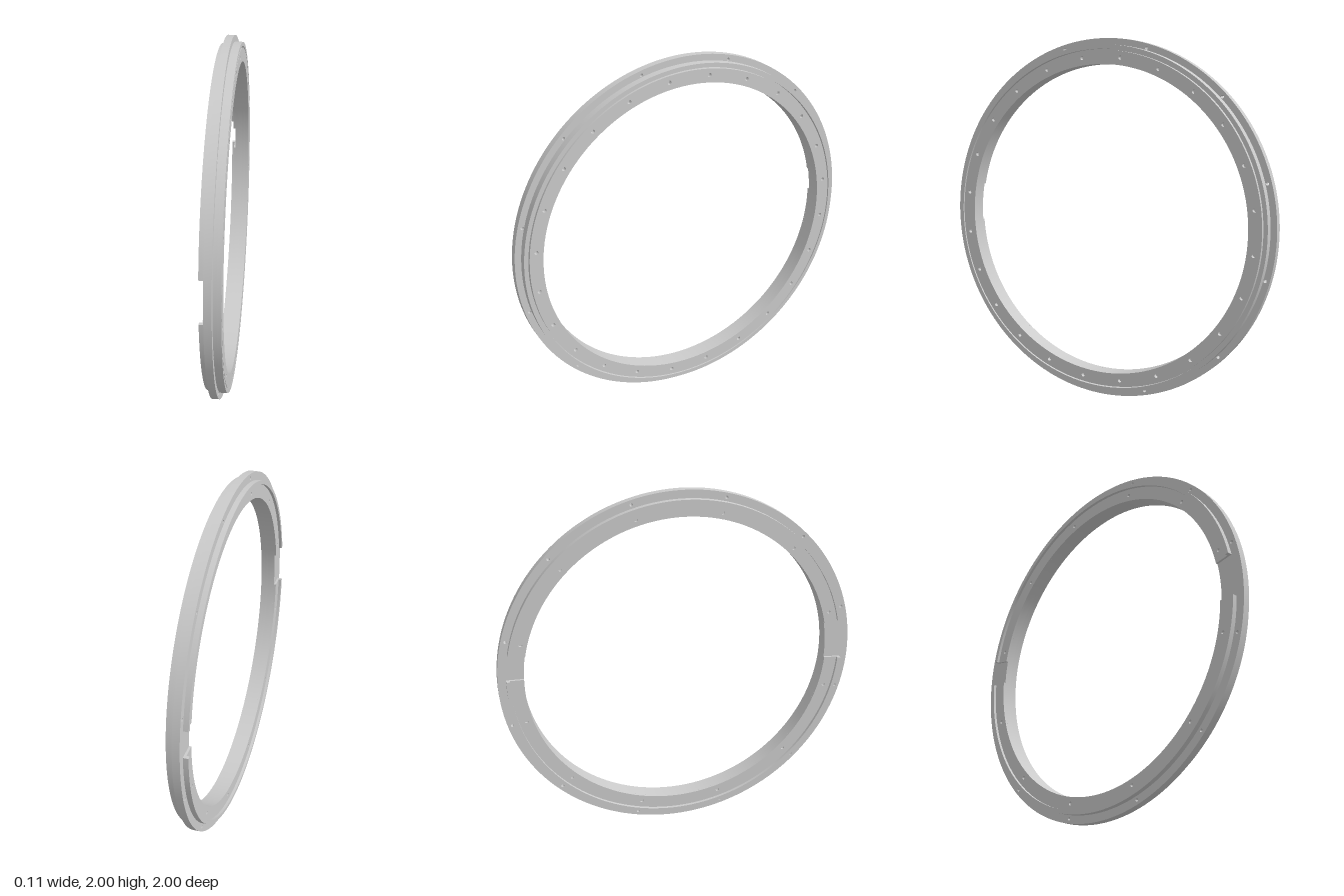
import * as THREE from 'three';
import { toCreasedNormals } from 'three/addons/utils/BufferGeometryUtils.js';

const material = new THREE.MeshStandardMaterial({ color: 0xcccccc });
const TAU = Math.PI * 2;
const STEPS = 160;

// Points along an arc
function arc(cx, cy, r, from, to, steps) {
  return Array.from({ length: steps + 1 }, (_, i) => {
    const a = from + ((to - from) * i) / steps;
    return new THREE.Vector2(cx + r * Math.cos(a), cy + r * Math.sin(a));
  });
}

// Evenly spaced round holes on a bolt circle, starting half a pitch off vertical
function boltHoles(count, circle, r) {
  return Array.from({ length: count }, (_, i) => {
    const a = ((i + 0.5) * TAU) / count;
    const points = arc(circle * Math.cos(a), circle * Math.sin(a), r, 0, TAU, 16);
    return new THREE.Path(points.slice(0, -1));
  });
}

// Extrudes a shape along x from x0 to x1; shape x becomes -z
function slab(name, shape, x0, x1) {
  let geometry = new THREE.ExtrudeGeometry(shape, { depth: x1 - x0, bevelEnabled: false });
  geometry.rotateY(Math.PI / 2);
  geometry.translate(x0, 1, 0);
  geometry = toCreasedNormals(geometry, 0.5);
  const mesh = new THREE.Mesh(geometry, material);
  mesh.name = name;
  return mesh;
}

// Full ring between two radii
function ring(name, inner, outer, x0, x1, holes = []) {
  const shape = new THREE.Shape(arc(0, 0, outer, 0, TAU, STEPS).slice(0, -1));
  shape.holes.push(new THREE.Path(arc(0, 0, inner, 0, TAU, STEPS).slice(0, -1)), ...holes);
  return slab(name, shape, x0, x1);
}

// Part of a ring between two angles, keeping only the holes inside it
function sector(name, inner, outer, x0, x1, from, to, holes = []) {
  const shape = new THREE.Shape([
    ...arc(0, 0, outer, from, to, STEPS / 2),
    ...arc(0, 0, inner, to, from, STEPS / 2),
  ]);
  shape.holes = holes.filter((hole) => {
    const p = hole.getPoint(0);
    const a = (Math.atan2(p.y, p.x) + TAU) % TAU;
    return (a > from && a < to) || (a + TAU > from && a + TAU < to);
  });
  return slab(name, shape, x0, x1);
}

export function createModel() {
  const model = new THREE.Group();
  model.name = 'flangedRing';
  const bore = 0.86;

  // Central flange with through holes
  model.add(ring('flange', bore, 1, -0.03, 0.01, boltHoles(12, 0.975, 0.009)));

  // Left collar: base, then two lands separated by a narrow seal groove
  model.add(ring('leftCollar', bore, 0.965, 0.01, 0.03));
  model.add(ring('leftOuterLand', 0.942, 0.965, 0.03, 0.052));
  model.add(ring('leftInnerLand', bore, 0.935, 0.03, 0.052, boltHoles(24, 0.9, 0.011)));

  // Right collar: two arcs with a raised rim, parted by a notch front and back
  const spans = [
    ['upper', 0.19, Math.PI - 0.19],
    ['lower', Math.PI + 0.063, TAU + 0.03],
  ];
  for (const [side, from, to] of spans) {
    model.add(sector(`${side}RightCollar`, bore, 0.955, -0.042, -0.03, from, to, boltHoles(12, 0.895, 0.01)));
    model.add(sector(`${side}RightRim`, 0.935, 0.955, -0.058, -0.042, from, to));
  }
  return model;
}
